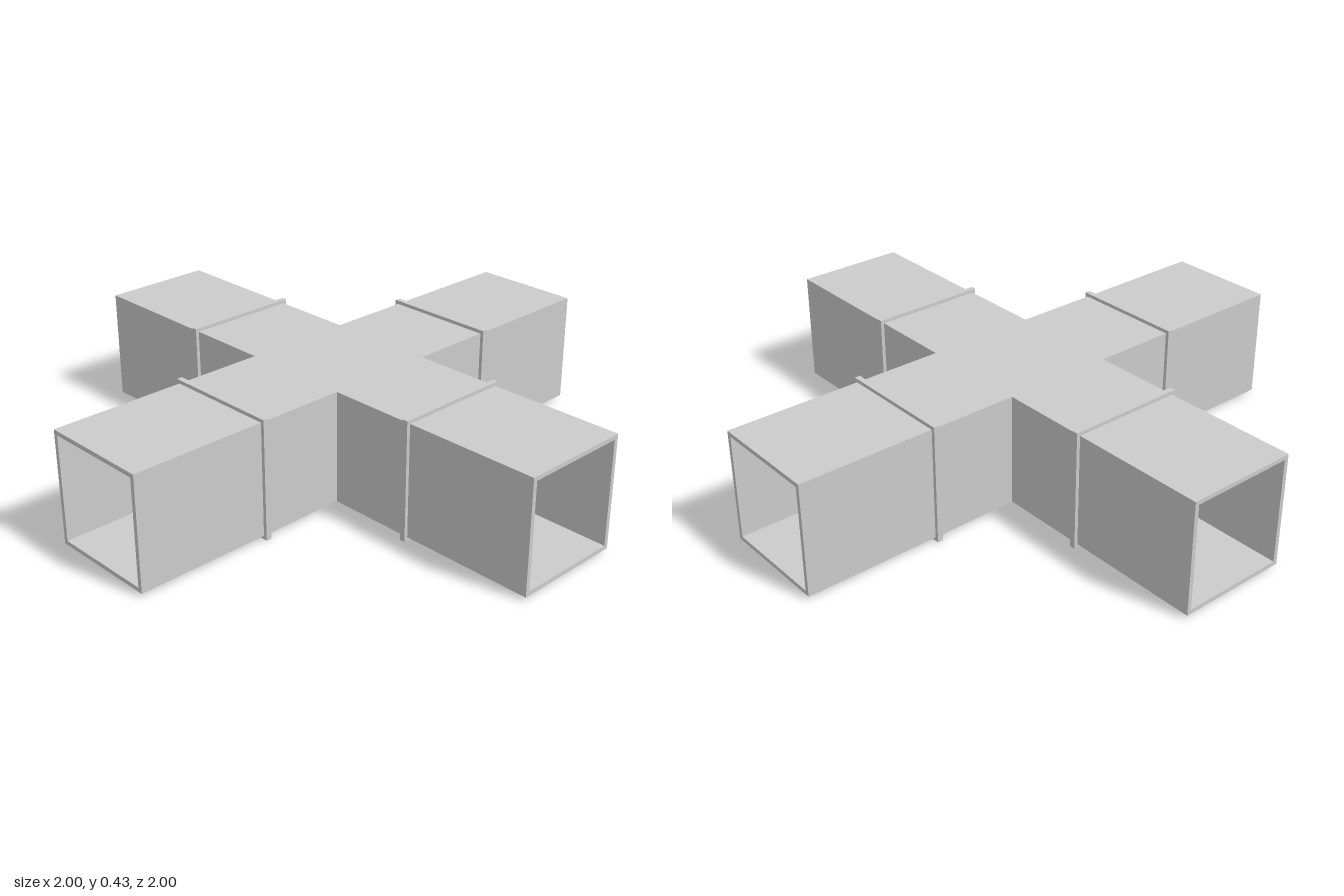
import * as THREE from 'three';

const HALF = 0.2;       // half width of the square duct
const INNER = 0.185;    // half width of the opening
const RIM = 0.2125;     // half width of the joint collars
const MID = RIM;        // height of the duct axis
const WALL = HALF - INNER;

const material = new THREE.MeshStandardMaterial({ color: 0xcccccc, flatShading: true });

function polygon(points) {
  return new THREE.Shape(points.map(([x, y]) => new THREE.Vector2(x, y)));
}

function square(h) {
  return [[-h, -h], [h, -h], [h, h], [-h, h]];
}

// Extrudes a plan outline (x, z) upwards from y = bottom
function extrudeUp(shape, bottom, height) {
  const geometry = new THREE.ExtrudeGeometry(shape, { depth: height, bevelEnabled: false });
  geometry.rotateX(Math.PI / 2);
  geometry.translate(0, bottom + height, 0);
  return geometry;
}

export function createModel() {
  const group = new THREE.Group();
  const add = (name, geometry, angle = 0) => {
    const mesh = new THREE.Mesh(geometry, material);
    mesh.name = name;
    mesh.rotation.y = angle;
    group.add(mesh);
  };

  // Cross-shaped floor and roof
  const a = HALF;
  const cross = polygon([
    [a, -1], [a, -a], [1, -a], [1, a], [a, a], [a, 1],
    [-a, 1], [-a, a], [-1, a], [-1, -a], [-a, -a], [-a, -1],
  ]);
  add('floor', extrudeUp(cross, MID - HALF, WALL));
  add('roof', extrudeUp(cross, MID + INNER, WALL));

  // L-shaped side wall between two neighbouring arms
  const corner = polygon([
    [INNER, INNER], [1, INNER], [1, HALF], [HALF, HALF], [HALF, 1], [INNER, 1],
  ]);
  const wall = extrudeUp(corner, MID - INNER, 2 * INNER);

  // Thin square collar around each arm
  const frame = polygon(square(RIM));
  frame.holes.push(new THREE.Path(polygon(square(HALF)).getPoints().reverse()));
  const collar = new THREE.ExtrudeGeometry(frame, { depth: 0.02, bevelEnabled: false });
  collar.translate(0, MID, 0.501);

  ['front', 'left', 'back', 'right'].forEach((side, i) => {
    const angle = i * Math.PI / 2;
    add(side + 'CornerWall', wall, angle);
    add(side + 'Collar', collar, angle);
  });

  return group;
}
